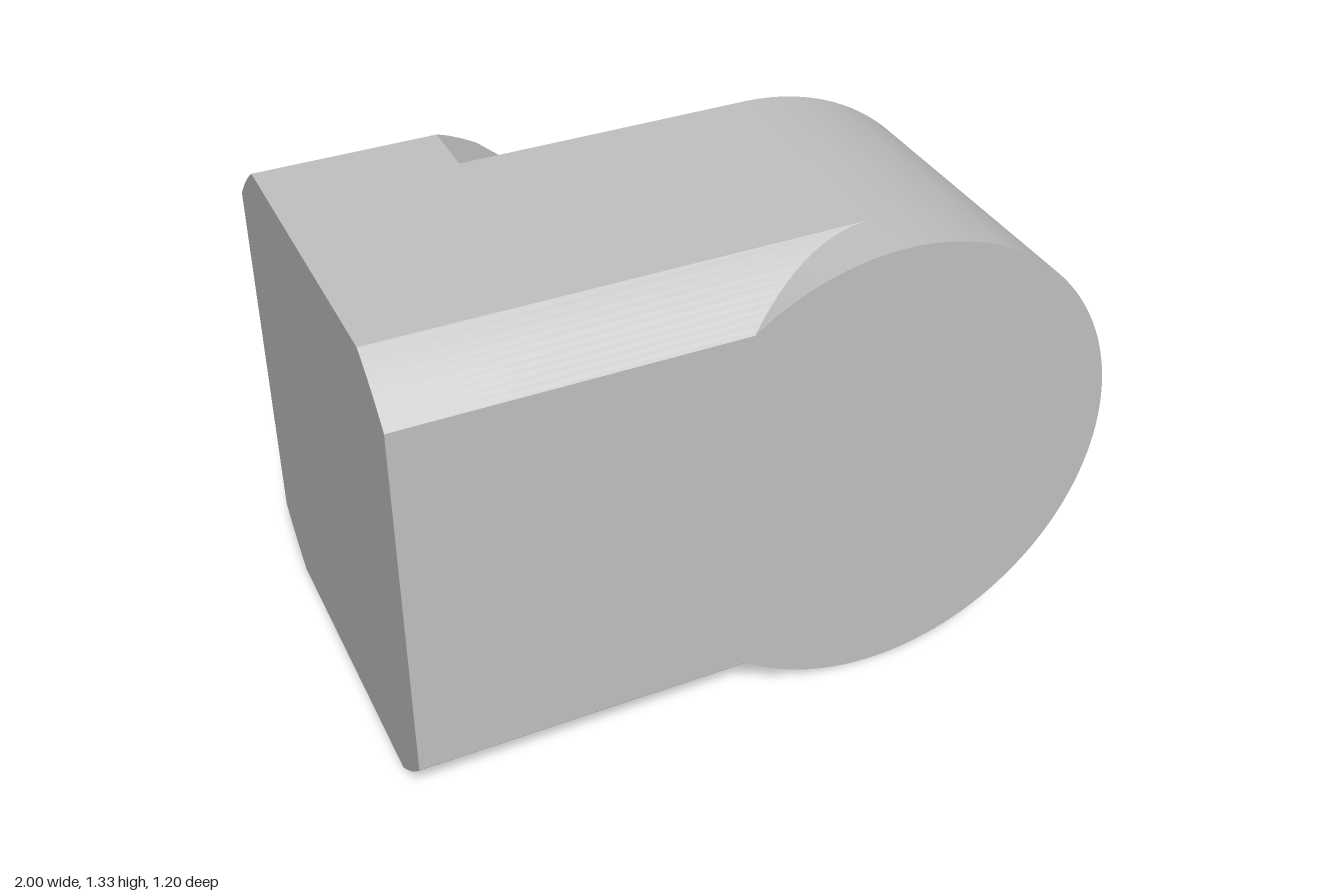
import * as THREE from 'three';
import { toCreasedNormals } from 'three/addons/utils/BufferGeometryUtils.js';

const R = 2 / 3;        // end radius and half height
const STEP_Z = -0.265;  // plane where the rear block meets the main body
const HALF_DEPTH = 0.6;
const TRIM = 0.8;       // radius that rounds off the long edges

// Half depth of the trimmed bar at height y
const depthAt = (y) => Math.min(HALF_DEPTH, Math.sqrt(TRIM * TRIM - (y - R) ** 2));

// Rounded nose of the rear block: two straight flanks tangent to an arc
const nose = { x: -0.453, r: 0.483, top: THREE.MathUtils.degToRad(50), low: THREE.MathUtils.degToRad(-20) };
function noseX(y) {
  const at = (a) => [nose.x + nose.r * Math.cos(a), R + nose.r * Math.sin(a)];
  for (const [a, beyond] of [[nose.top, 1], [nose.low, -1]]) {
    const [tx, ty] = at(a);
    if ((y - ty) * beyond > 0) return tx - (y - ty) * Math.tan(a);
  }
  return nose.x + Math.sqrt(nose.r ** 2 - (y - R) ** 2);
}

// Slice heights: fine over the rounded edges and over the nose arc
function heights() {
  const edge = R - Math.sqrt(TRIM ** 2 - HALF_DEPTH ** 2);
  const ys = [];
  for (let i = 0; i <= 10; i++) ys.push((edge * i) / 10, 2 * R - (edge * i) / 10);
  for (let i = 0; i <= 28; i++) {
    ys.push(R + nose.r * Math.sin(THREE.MathUtils.lerp(nose.low, nose.top, i / 28)));
  }
  return ys.sort((a, b) => a - b);
}

// Solid made of stacked rectangular slices
function stack(slice) {
  const rings = heights().map((y) => {
    const { x, z0, z1 } = slice(y);
    return [[-1, y, z0], [x, y, z0], [x, y, z1], [-1, y, z1]];
  });
  const pos = [];
  const quad = (a, b, c, d) => pos.push(...a, ...b, ...c, ...a, ...c, ...d);
  for (let i = 0; i < rings.length - 1; i++) {
    const lo = rings[i], up = rings[i + 1];
    for (let k = 0; k < 4; k++) {
      const n = (k + 1) % 4;
      quad(lo[n], lo[k], up[k], up[n]);
    }
  }
  const [a, b, c, d] = rings[0];
  quad(a, b, c, d);
  const [e, f, g, h] = rings[rings.length - 1];
  quad(e, h, g, f);
  const geo = new THREE.BufferGeometry();
  geo.setAttribute('position', new THREE.Float32BufferAttribute(pos, 3));
  return toCreasedNormals(geo, 0.35);
}

export function createModel() {
  const group = new THREE.Group();
  group.name = 'hingeBlock';
  const grey = new THREE.MeshStandardMaterial({ color: 0xc0c0c0 });
  grey.name = 'plain grey';

  const add = (name, geo) => {
    const mesh = new THREE.Mesh(geo, grey);
    mesh.name = name;
    group.add(mesh);
    return mesh;
  };

  // Main bar with rounded long front edges
  add('mainBar', stack((y) => ({ x: 1 - R, z0: STEP_Z, z1: depthAt(y) })));

  // Rear block with the angled, rounded nose
  add('rearBlock', stack((y) => ({ x: noseX(y), z0: -depthAt(y), z1: STEP_Z })));

  // Full round end, running across the main bar
  const length = HALF_DEPTH - STEP_Z;
  const round = new THREE.CylinderGeometry(R, R, length, 128).rotateX(Math.PI / 2);
  add('roundEnd', round).position.set(1 - R, R, STEP_Z + length / 2);

  return group;
}
